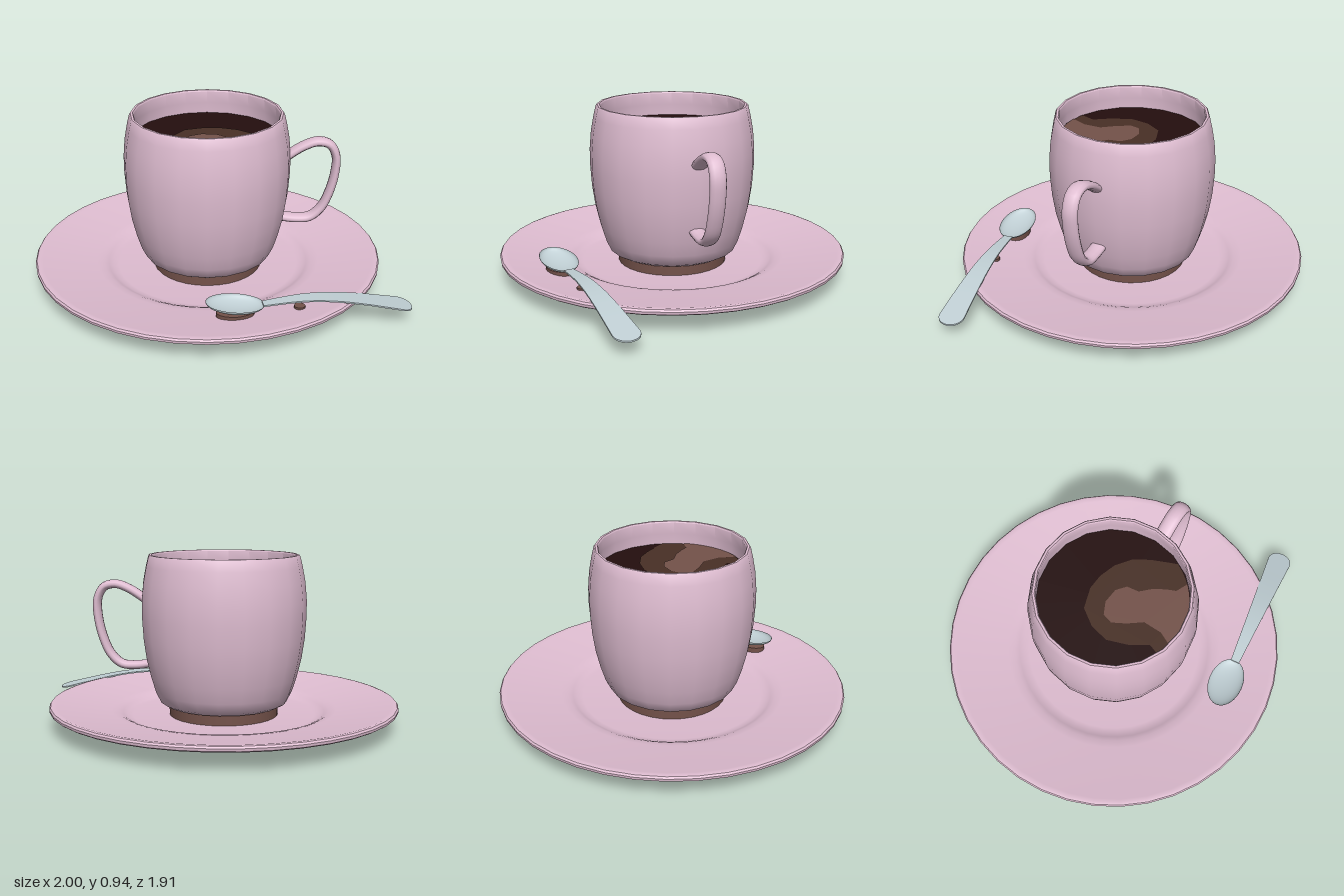
import * as THREE from 'three';
import { toCreasedNormals } from 'three/addons/utils/BufferGeometryUtils.js';

const flat = (name, color, side = THREE.FrontSide) => {
  const m = new THREE.MeshStandardMaterial({ color, side });
  m.name = name;
  return m;
};

const lathe = (pairs, sides, crease) => toCreasedNormals(
  new THREE.LatheGeometry(pairs.map(([r, y]) => new THREE.Vector2(r, y)), sides), crease);

export function createModel() {
  const china = flat('pink china', 0xdfbdd1);
  const steel = flat('spoon steel', 0xc0cfd4, THREE.DoubleSide);
  const dark = flat('dark coffee', 0x240e0e);
  const mid = flat('brown coffee', 0x483026);
  const light = flat('milky brown', 0x74524a);

  const model = new THREE.Group();
  const add = (name, geometry, material, x = 0, y = 0, z = 0, parent = model) => {
    const mesh = new THREE.Mesh(geometry, material);
    mesh.name = name;
    mesh.position.set(x, y, z);
    parent.add(mesh);
    return mesh;
  };
  const cx = -0.045; // shared axis of cup and saucer

  // Saucer: flat base, flared underside, rounded lip and a sunken well
  add('saucer', lathe([
    [0, 0], [0.48, 0], [0.59, 0.035], [0.94, 0.1], [0.953, 0.108], [0.955, 0.122],
    [0.948, 0.132], [0.935, 0.135], [0.915, 0.131], [0.62, 0.093], [0.58, 0.087],
    [0.555, 0.075], [0.53, 0.061], [0.5, 0.057], [0, 0.057],
  ], 40, 0.7), china, cx);

  // Cup: outer belly, thin lip, inner wall and floor
  add('cup', lathe([
    [0, 0.115], [0.32, 0.115], [0.35, 0.132], [0.378, 0.19], [0.403, 0.27], [0.427, 0.37],
    [0.443, 0.48], [0.451, 0.6], [0.451, 0.69], [0.442, 0.79], [0.426, 0.875],
    [0.413, 0.928], [0.407, 0.936], [0.395, 0.936], [0.39, 0.928],
    [0.397, 0.86], [0.402, 0.78], [0.39, 0.5], [0.3, 0.18], [0, 0.17],
  ], 20, 0.7), china, cx);
  add('cupFoot', new THREE.CylinderGeometry(0.3, 0.3, 0.064, 32), light, cx, 0.087);

  // Handle: planar loop, widened across z
  const path = new THREE.CatmullRomCurve3([
    [0.36, 0.665], [0.41, 0.705], [0.48, 0.748], [0.55, 0.771], [0.615, 0.755], [0.651, 0.69],
    [0.65, 0.59], [0.622, 0.47], [0.58, 0.38], [0.52, 0.328], [0.44, 0.321], [0.34, 0.335],
  ].map(([x, y]) => new THREE.Vector3(x, y, 0)));
  add('handle', new THREE.TubeGeometry(path, 48, 0.024, 12), china).scale.z = 1.85;

  // Coffee: dark surface with two layers of milk, each closed along the cup wall
  const surface = (points, fromDeg, toDeg) => {
    const outline = points.map(([x, z]) => new THREE.Vector2(x, -z));
    for (let i = 0; i <= 12; i++) {
      const a = THREE.MathUtils.degToRad(fromDeg + (toDeg - fromDeg) * i / 12);
      outline.push(new THREE.Vector2(0.392 * Math.cos(a), -0.392 * Math.sin(a)));
    }
    return new THREE.ShapeGeometry(new THREE.Shape(outline)).rotateX(-Math.PI / 2);
  };
  add('coffee', new THREE.CircleGeometry(0.401, 20).rotateX(-Math.PI / 2).rotateY(-Math.PI / 2),
    dark, cx, 0.8);
  add('outerSwirl', surface([
    [-0.1, 0.29], [-0.16, 0.2], [-0.2, 0.09], [-0.18, -0.01], [-0.12, -0.1], [-0.01, -0.135],
    [0.075, -0.13], [0.165, -0.1], [0.245, -0.04], [0.295, 0.04], [0.335, 0.13],
  ], 26, 109), mid, cx, 0.803);
  add('innerSwirl', surface([
    [-0.015, 0.3], [-0.015, 0.2], [-0.07, 0.13], [-0.11, 0.06], [-0.095, 0.005], [-0.03, -0.027],
    [0.05, -0.02], [0.1, 0.02], [0.11, 0.085], [0.165, 0.14], [0.2, 0.2], [0.22, 0.245],
  ], 44, 98), light, cx, 0.806);

  // Spoon, lying across the saucer's front edge
  const spoon = new THREE.Group();
  spoon.name = 'spoon';
  spoon.position.set(0.093, 0, 0.675);
  spoon.rotation.y = 0.15;
  model.add(spoon);

  const bowl = add('spoonBowl',
    new THREE.SphereGeometry(1, 32, 10, 0, Math.PI * 2, Math.PI / 2, Math.PI / 2),
    steel, 0, 0.171, 0, spoon);
  bowl.scale.set(0.15, 0.04, 0.096);
  bowl.rotation.z = -0.11;

  // Handle: a thin strip bent along a curve, widening to a round end
  const bend = new THREE.CatmullRomCurve3([
    [0.14, 0.152], [0.25, 0.162], [0.36, 0.167], [0.5, 0.158], [0.65, 0.133], [0.8, 0.1], [0.92, 0.073],
  ].map(([x, y]) => new THREE.Vector3(x, y, 0)));
  const strip = new THREE.BoxGeometry(1, 0.008, 1, 40, 1, 6);
  const p = strip.attributes.position;
  for (let i = 0; i < p.count; i++) {
    const t = 1 - (0.5 - p.getX(i)) ** 1.4 / 0.5 ** 1.4 * 0.5 ** 1.4; // finer steps near the end
    const c = bend.getPoint(t);
    const past = Math.max(0, (c.x - 0.855) / 0.065);
    const half = (0.025 + 0.047 * (c.x - 0.14) / 0.78) * Math.sqrt(Math.max(0.001, 1 - past * past));
    p.setXYZ(i, c.x, c.y + p.getY(i), p.getZ(i) * 2 * half);
  }
  strip.computeVertexNormals();
  add('spoonHandle', strip, steel, 0, 0, 0, spoon);

  // Small coffee drips under the spoon
  const drip = (name, x, y, z, r, h) =>
    add(name, new THREE.CylinderGeometry(r, r, h, 20), light, x, y, z, spoon);
  drip('bowlDrip', 0, 0.112, 0, 0.065, 0.03).scale.x = 1.5;
  drip('handleDrip', 0.33, 0.118, 0, 0.028, 0.016);

  return model;
}
